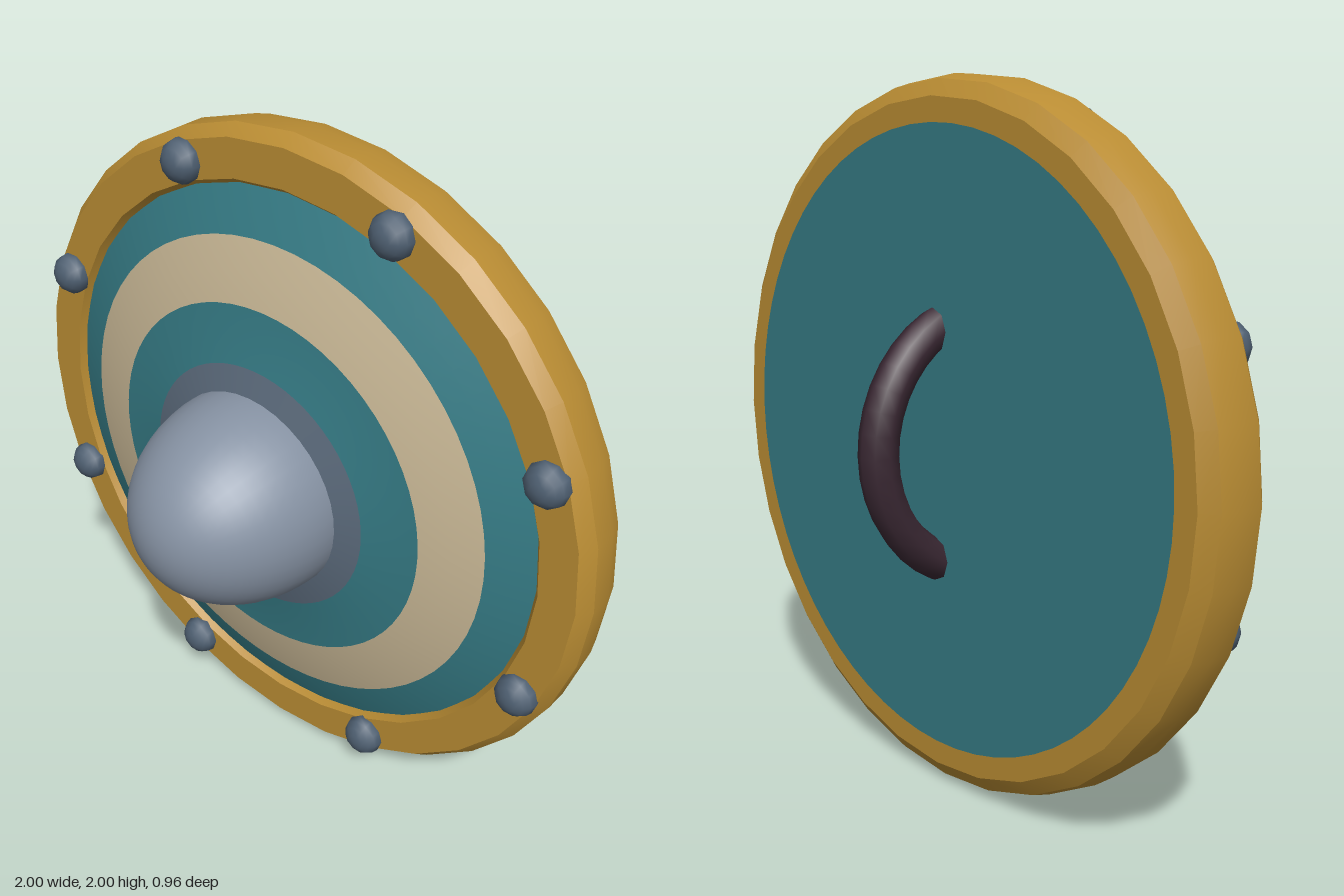
import * as THREE from 'three';
import { toCreasedNormals } from 'three/addons/utils/BufferGeometryUtils.js';

const material = (name, color) => {
  const m = new THREE.MeshStandardMaterial({ color });
  m.name = name;
  return m;
};

export function createModel() {
  const group = new THREE.Group();
  group.name = 'roundShield';

  const teal = material('teal paint', 0x357a84);
  const cream = material('cream paint', 0xc8b795);
  const gold = material('gold rim', 0xb98c33);
  const steel = material('light steel', 0x8692a3);
  const darkSteel = material('dark steel', 0x4f6072);
  const collarSteel = material('collar steel', 0x5b6a7b);
  const leather = material('dark leather', 0x3a2833);

  // All parts are placed around the shield's centre, one unit above the ground
  const add = (name, geometry, mat, x = 0, y = 0, z = 0) => {
    const mesh = new THREE.Mesh(geometry, mat);
    mesh.name = name;
    mesh.position.set(x, y + 1, z);
    group.add(mesh);
    return mesh;
  };
  // Revolve [radius, z] points around the front-to-back axis
  const revolve = (points, segments) =>
    new THREE.LatheGeometry(points.map(([r, z]) => new THREE.Vector2(r, z)), segments)
      .rotateX(Math.PI / 2);

  // Heavy bevelled rim
  const rim = revolve([
    [0.87, -0.235], [0.94, -0.235], [0.985, -0.205], [1, -0.15],
    [1, -0.08], [0.97, -0.04], [0.86, -0.04], [0.83, -0.08],
  ], 32);
  add('rim', toCreasedNormals(rim, 0.45), gold);

  // Bulging face, painted in rings
  add('outerBand', revolve([[0.845, -0.06], [0.78, -0.03], [0.72, -0.005]], 64), teal);
  add('creamBand', revolve([[0.72, -0.005], [0.63, 0.025], [0.545, 0.045]], 64), cream);
  add('innerBand', revolve([[0.545, 0.045], [0.46, 0.057], [0.38, 0.075]], 64), teal);
  add('bossCollar', revolve([[0.38, 0.075], [0.29, 0.1]], 64), collarSteel);

  // Domed boss
  const dome = new THREE.SphereGeometry(0.305, 40, 14, 0, Math.PI * 2, 0, Math.PI / 2);
  dome.rotateX(Math.PI / 2);
  const boss = add('boss', dome, steel, 0, 0, 0.09);
  boss.scale.z = 0.39 / 0.305;

  // Flat back
  add('backPanel', new THREE.CircleGeometry(0.872, 64).rotateY(Math.PI), teal, 0, 0, -0.236);

  // Rivets around the rim
  for (let i = 0; i < 8; i++) {
    const a = (i + 0.5) * Math.PI / 4;
    const rivet = add('rivet', new THREE.SphereGeometry(0.064, 10, 8).rotateX(Math.PI / 2),
      darkSteel, 0.915 * Math.cos(a), 0.915 * Math.sin(a), -0.035);
    rivet.scale.z = 0.85;
  }

  // Curved grip on the back
  const grip = new THREE.TorusGeometry(0.37, 0.056, 8, 20, Math.PI);
  grip.rotateX(-Math.PI / 2).rotateZ(Math.PI / 2);
  add('grip', grip, leather, 0, 0, -0.055);

  return group;
}
